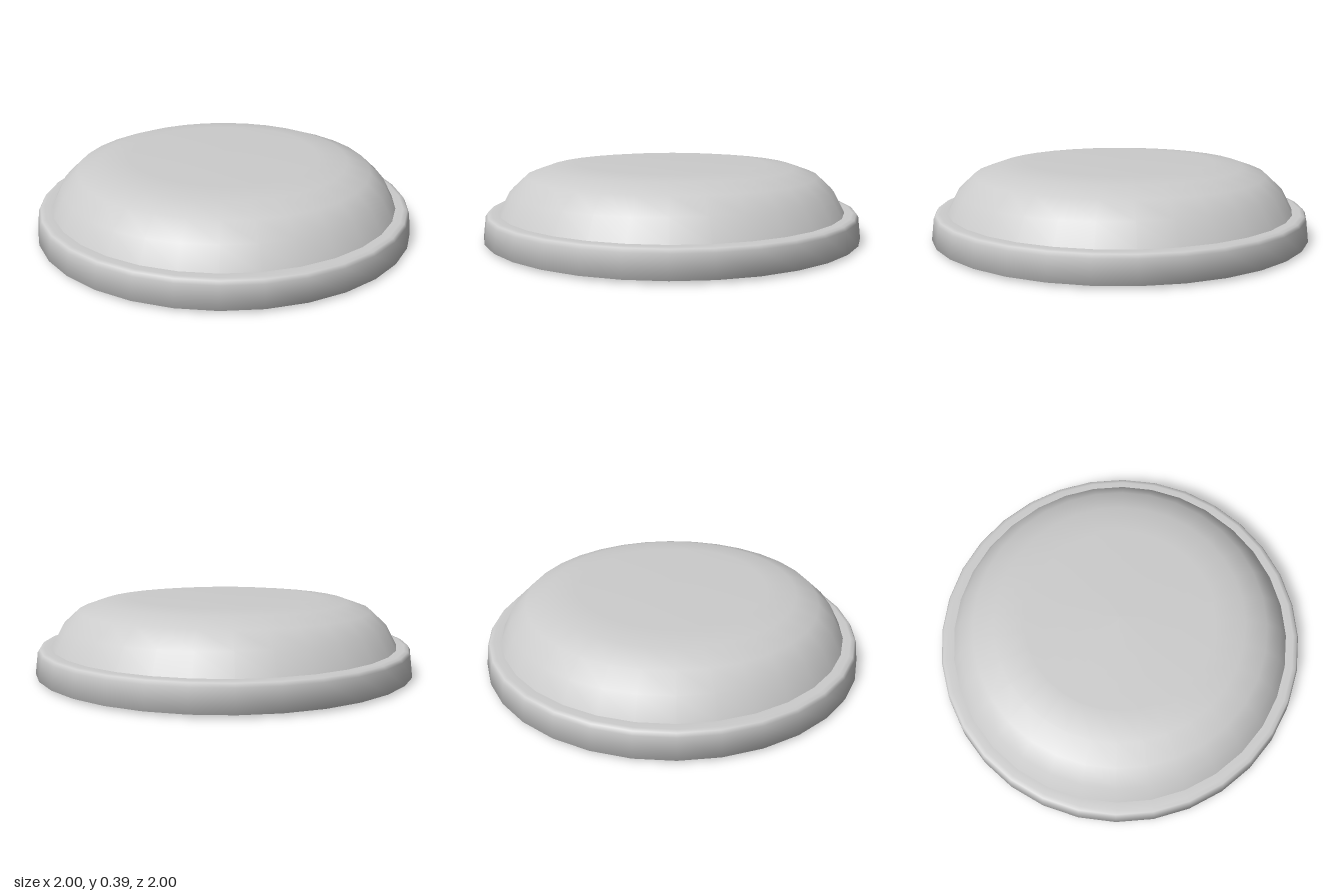
import * as THREE from 'three';

const SIDES = 32;
const material = new THREE.MeshStandardMaterial({ color: 0xcccccc, side: THREE.DoubleSide });

// Smooth surface of revolution; separate profiles meet in sharp edges
function turned(name, profile) {
  const points = profile.map(([r, y]) => new THREE.Vector2(r, y));
  const mesh = new THREE.Mesh(new THREE.LatheGeometry(points, SIDES), material);
  mesh.name = name;
  return mesh;
}

export function createModel() {
  const lid = new THREE.Group();
  lid.name = 'hollowLid';

  // Raised crown with a rounded shoulder and nearly flat top
  lid.add(turned('crownOutside', [
    [0.915, 0.145], [0.86, 0.25], [0.775, 0.328], [0.655, 0.37], [0.5, 0.387], [0, 0.389],
  ]));

  // Rim band: bevelled underside, flared wall, rounded upper edge and flat shoulder
  lid.add(turned('rimOutside', [
    [0.93, 0], [1.0, 0.014], [0.986, 0.125], [0.975, 0.142], [0.955, 0.146], [0.915, 0.145],
  ]));

  // Inner wall of the rim
  lid.add(turned('rimInside', [[0.925, 0.128], [0.93, 0]]));

  // Thin-walled hollow of the crown, ending in a narrow inner ledge
  lid.add(turned('crownInside', [
    [0, 0.375], [0.495, 0.373], [0.647, 0.356], [0.763, 0.316], [0.845, 0.243], [0.895, 0.14], [0.905, 0.128], [0.925, 0.128],
  ]));

  return lid;
}
